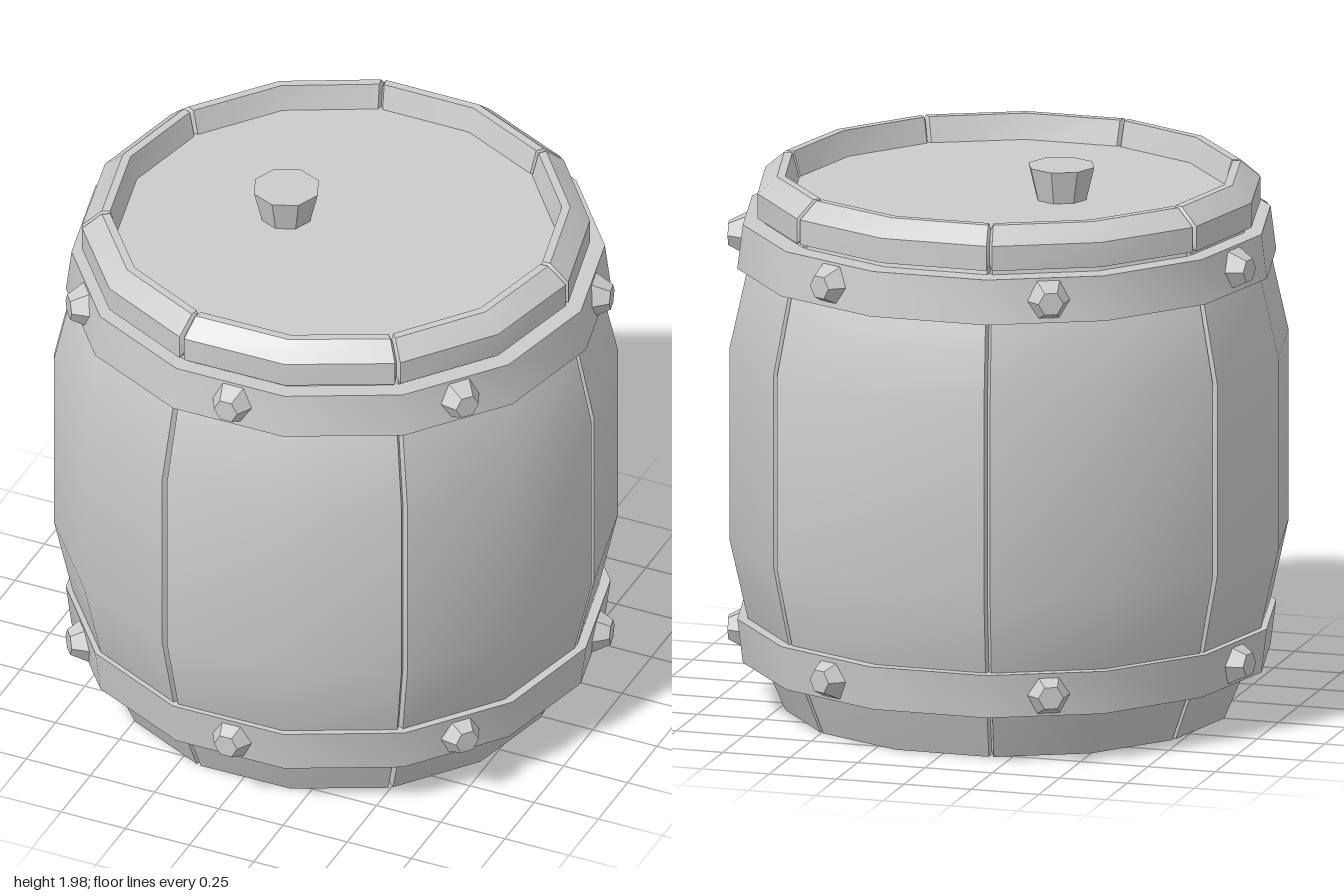
import * as THREE from 'three';
import { toCreasedNormals } from 'three/addons/utils/BufferGeometryUtils.js';

const STAVES = 7;
const SIDES = STAVES * 2;
const STEP = (Math.PI * 2) / STAVES;
const material = new THREE.MeshStandardMaterial({ color: 0xcccccc });

function part(name, geometry, crease = 0.5) {
  const mesh = new THREE.Mesh(toCreasedNormals(geometry, crease), material);
  mesh.name = name;
  return mesh;
}

// Stave section as [radius, height], from the underside up and over the rim
const PROFILE = [
  [0.77, 0.02], [0.77, 0], [0.80, 0], [0.87, 0.165], [0.935, 0.34], [1, 0.63], [1, 1.33],
  [0.935, 1.62], [0.87, 1.79], [0.87, 1.8], [0.9, 1.8], [0.9, 1.89],
  [0.83, 1.95], [0.80, 1.95], [0.77, 1.84],
];

// The same section shrunk a little, for the bottom of the V groove between staves
const GROOVE = PROFILE.map(([r, y]) => {
  if (y >= 1.8) return [r + (0.84 - r) * 0.3, y + (1.88 - y) * 0.25];
  return [r < 0.79 ? r : r - 0.022, y === 0 ? 0.012 : y];
});

function staveGeometry() {
  const g = 0.011;
  const columns = [
    [0, GROOVE], [g, PROFILE], [STEP / 2, PROFILE], [STEP - g, PROFILE], [STEP, GROOVE],
  ];
  const positions = [], index = [], n = PROFILE.length;
  for (const [a, section] of columns) {
    for (const [r, y] of section) positions.push(r * Math.cos(a), y, r * Math.sin(a));
  }
  for (let c = 0; c < columns.length - 1; c++) {
    for (let i = 0; i < n - 1; i++) {
      const p = c * n + i, q = p + n;
      index.push(p, p + 1, q, q, p + 1, q + 1);
    }
  }
  const geometry = new THREE.BufferGeometry();
  geometry.setAttribute('position', new THREE.Float32BufferAttribute(positions, 3));
  geometry.setIndex(index);
  geometry.computeVertexNormals();
  return geometry;
}

// Iron band with a ring of studs; lower and upper are its edge radii
function makeHoop(name, y0, y1, lower, upper) {
  const hoop = new THREE.Group();
  hoop.name = name;
  const points = [[0.84, y0], [lower, y0], [upper, y1], [0.84, y1]]
    .map(([r, y]) => new THREE.Vector2(r, y));
  hoop.add(part('band', new THREE.LatheGeometry(points, SIDES, Math.PI / 2)));

  const stud = new THREE.CylinderGeometry(0.045, 0.086, 0.075, 6);
  stud.rotateY(Math.PI / 6);
  stud.rotateX(Math.PI / 2);
  stud.rotateZ(Math.PI / 2 + Math.PI / 3);
  stud.rotateZ(Math.PI / 6);
  // points of the hexagon face sideways
  stud.rotateZ(Math.PI / 6);
  stud.computeBoundingBox();
  const size = stud.boundingBox.getSize(new THREE.Vector3());
  if (size.y > size.x) stud.rotateZ(Math.PI / 6);
  for (let i = 0; i < STAVES; i++) {
    const pivot = new THREE.Group();
    pivot.rotation.y = i * STEP;
    const mesh = part('stud', stud);
    mesh.position.set(0.012, (y0 + y1) / 2, 0.95);
    pivot.add(mesh);
    hoop.add(pivot);
  }
  hoop.position.set(0.005, 0, -0.008);
  return hoop;
}

function disc(name, y, radius, up) {
  const geometry = new THREE.CircleGeometry(radius, SIDES);
  geometry.rotateX(up ? -Math.PI / 2 : Math.PI / 2);
  const mesh = part(name, geometry);
  mesh.position.y = y;
  return mesh;
}

export function createModel() {
  const barrel = new THREE.Group();
  barrel.name = 'barrel';

  // Staves
  const stave = staveGeometry();
  for (let i = 0; i < STAVES; i++) {
    const mesh = part('stave', stave);
    mesh.rotation.y = i * STEP;
    barrel.add(mesh);
  }

  // Heads
  barrel.add(disc('lid', 1.86, 0.80, true));
  barrel.add(disc('base', 0.015, 0.785, false));

  // Hoops
  barrel.add(makeHoop('lowerHoop', 0.18, 0.34, 0.945, 0.965));
  barrel.add(makeHoop('upperHoop', 1.62, 1.78, 0.965, 0.945));

  // Bung in the lid
  const bung = part('bung', new THREE.CylinderGeometry(0.122, 0.09, 0.13, 8));
  bung.position.set(-0.2, 1.915, -0.015);
  barrel.add(bung);

  return barrel;
}
